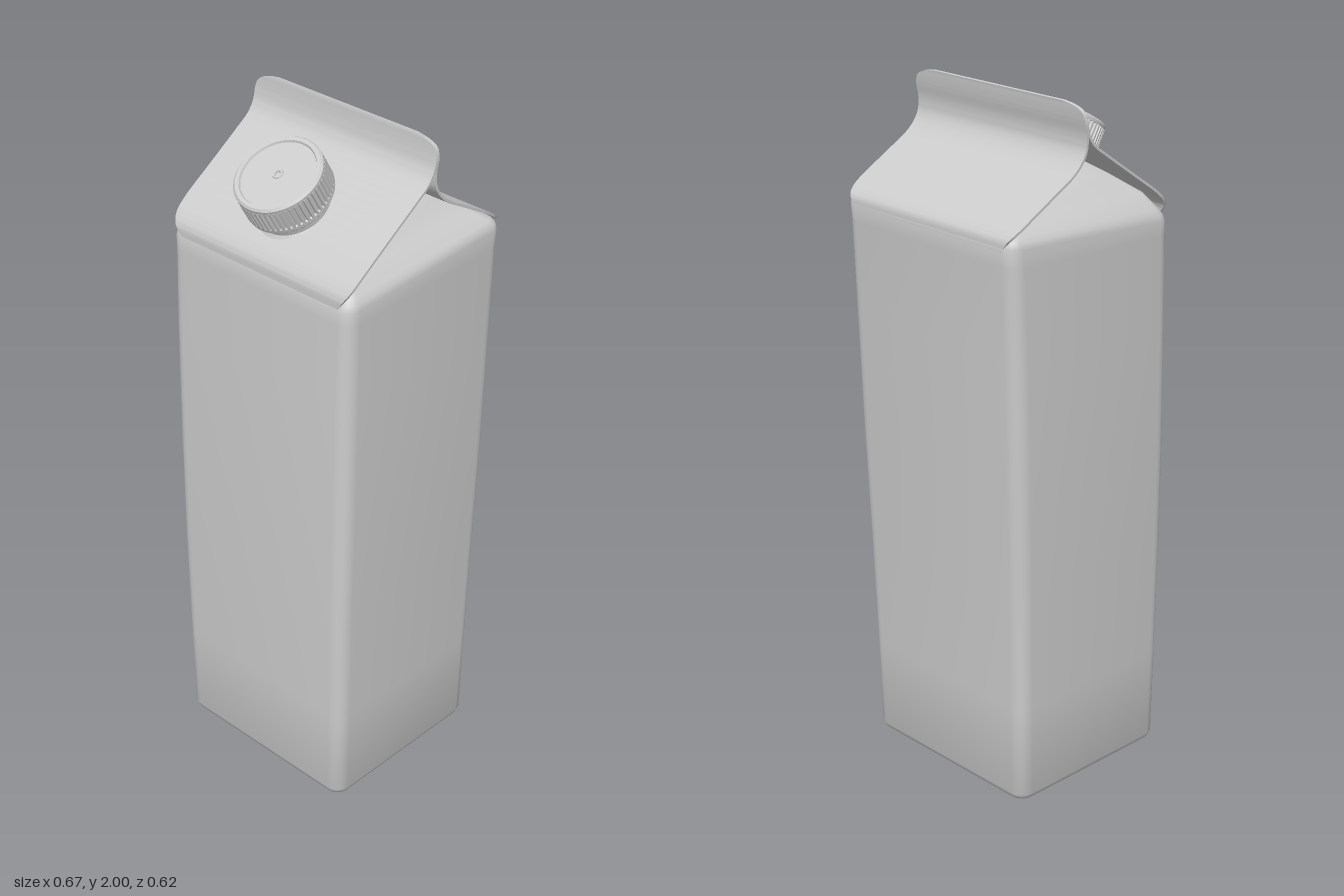
import * as THREE from 'three';
import { toCreasedNormals } from 'three/addons/utils/BufferGeometryUtils.js';

const material = new THREE.MeshStandardMaterial({ color: 0xcccccc, side: THREE.DoubleSide });

function addMesh(parent, name, geometry, crease = 0.6) {
  const mesh = new THREE.Mesh(toCreasedNormals(geometry, crease), material);
  mesh.name = name;
  parent.add(mesh);
  return mesh;
}

// Skin a stack of equal-length closed rings and cap both ends
function loft(rings) {
  const n = rings[0].length, last = (rings.length - 1) * n, index = [];
  for (let i = 0; i < rings.length - 1; i++) {
    for (let j = 0; j < n; j++) {
      const a = i * n + j, b = i * n + (j + 1) % n;
      index.push(a, b, b + n, a, b + n, a + n);
    }
  }
  for (let j = 1; j < n - 1; j++) {
    index.push(0, j + 1, j, last, last + j, last + j + 1);
  }
  const geometry = new THREE.BufferGeometry();
  geometry.setAttribute('position', new THREE.Float32BufferAttribute(rings.flat(2), 3));
  geometry.setIndex(index);
  return geometry;
}

// Horizontal rounded rectangle; tilt raises its back edge
function roundedRing([y, halfX, front, back, r, tilt]) {
  const ring = [], steps = 6, mid = (front + back) / 2, halfZ = (front - back) / 2;
  for (let c = 0; c < 4; c++) {
    const sx = c === 0 || c === 3 ? 1 : -1, sz = c < 2 ? -1 : 1;
    for (let k = 0; k <= steps; k++) {
      const a = (c + k / steps) * Math.PI / 2;
      const x = sx * (halfX - r) + r * Math.cos(a);
      const z = mid + sz * (halfZ - r) - r * Math.sin(a);
      ring.push([x, y - tilt * z, z]);
    }
  }
  return ring;
}

// Thin sheet following a path of (half width, y, z); side is +1 front, -1 back
function roofSheet(points, side) {
  const path = new THREE.CatmullRomCurve3(points.map(p => new THREE.Vector3(...p)));
  const rings = [], steps = 48, thick = 0.007;
  for (let i = 0; i <= steps; i++) {
    const p = path.getPoint(i / steps), t = path.getTangent(i / steps);
    const len = Math.hypot(t.y, t.z);
    const y = p.y + side * thick * t.z / len, z = p.z - side * thick * t.y / len;
    const w = side * p.x;
    rings.push([[-w, p.y, p.z], [w, p.y, p.z], [w, y, z], [-w, y, z]]);
  }
  return loft(rings);
}

function createCap() {
  const cap = new THREE.Group();
  cap.name = 'screwCap';
  const lathe = (name, pts) => addMesh(cap, name,
    new THREE.LatheGeometry(pts.map(p => new THREE.Vector2(...p)), 64), 0.5);

  // Pouring neck and its flange
  lathe('neck', [[0.118, -0.19], [0.118, -0.136], [0.106, -0.126], [0.106, -0.08]]);
  // Smooth shell with a sunken top and a small centre dimple
  lathe('capShell', [
    [0.1, -0.098], [0.121, -0.098], [0.124, -0.094], [0.124, -0.084], [0.119, -0.08],
    [0.119, -0.016], [0.125, -0.014], [0.125, -0.006], [0.119, 0], [0.108, 0],
    [0.105, -0.006], [0.016, -0.006], [0.014, -0.002], [0.009, -0.002], [0.007, -0.008], [0, -0.008]
  ]);

  // Grip ribs around the side
  const ribs = 54, outline = [];
  for (let i = 0; i < ribs; i++) {
    [[0, 0.119], [0.25, 0.119], [0.4, 0.126], [0.85, 0.126]].forEach(([f, r]) => {
      const a = (i + f) / ribs * Math.PI * 2;
      outline.push(new THREE.Vector2(r * Math.cos(a), r * Math.sin(a)));
    });
  }
  const grip = new THREE.ExtrudeGeometry(new THREE.Shape(outline), { depth: 0.072, bevelEnabled: false });
  grip.rotateX(-Math.PI / 2).translate(0, -0.086, 0);
  addMesh(cap, 'gripRibs', grip, 0.3);

  cap.position.set(0, 1.891, 0.206);
  cap.rotation.x = Math.PI / 6;
  return cap;
}

export function createModel() {
  const model = new THREE.Group();
  model.name = 'carton';

  // Body, closing into side panels folded inward beneath the roof:
  // y, half width, front z, back z, corner radius, tilt
  addMesh(model, 'body', loft([
    [0, 0.295, 0.286, -0.236, 0.03, 0],
    [0.006, 0.31, 0.302, -0.252, 0.038, 0],
    [0.022, 0.317, 0.308, -0.259, 0.042, 0],
    [0.3, 0.322, 0.309, -0.265, 0.044, 0],
    [0.65, 0.328, 0.309, -0.275, 0.045, 0],
    [1.0, 0.333, 0.304, -0.288, 0.045, 0],
    [1.35, 0.334, 0.297, -0.3, 0.045, 0],
    [1.6, 0.333, 0.289, -0.309, 0.042, 0.04],
    [1.645, 0.333, 0.288, -0.312, 0.04, 0.06],
    [1.662, 0.329, 0.281, -0.306, 0.036, 0.06],
    [1.676, 0.318, 0.27, -0.297, 0.03, 0.05],
    [1.71, 0.28, 0.238, -0.258, 0.015, 0.02],
    [1.76, 0.215, 0.166, -0.18, 0.01, 0],
    [1.82, 0.14, 0.077, -0.08, 0.008, 0],
    [1.86, 0.085, 0.018, -0.046, 0.006, 0]
  ].map(roundedRing)), 0.9);

  // Roof sheets sweep up from each shoulder and meet in the sealed fin
  const finTip = z => [[0.328, 1.955, z], [0.318, 1.98, z - 0.003], [0.29, 1.993, z - 0.004], [0.25, 2, z - 0.005]];
  addMesh(model, 'frontRoof', roofSheet([
    [0.29, 1.635, 0.288], [0.312, 1.665, 0.286], [0.324, 1.69, 0.27], [0.328, 1.717, 0.24],
    [0.328, 1.787, 0.139], [0.328, 1.857, 0.037], [0.328, 1.89, -0.008], [0.328, 1.922, -0.029],
    ...finTip(-0.037)
  ], 1));
  addMesh(model, 'backRoof', roofSheet([
    [0.29, 1.655, -0.312], [0.312, 1.685, -0.308], [0.324, 1.707, -0.285],
    [0.328, 1.77, -0.178], [0.328, 1.83, -0.077], [0.328, 1.873, -0.045], [0.328, 1.915, -0.041],
    ...finTip(-0.048)
  ], -1));

  model.add(createCap());
  return model;
}
